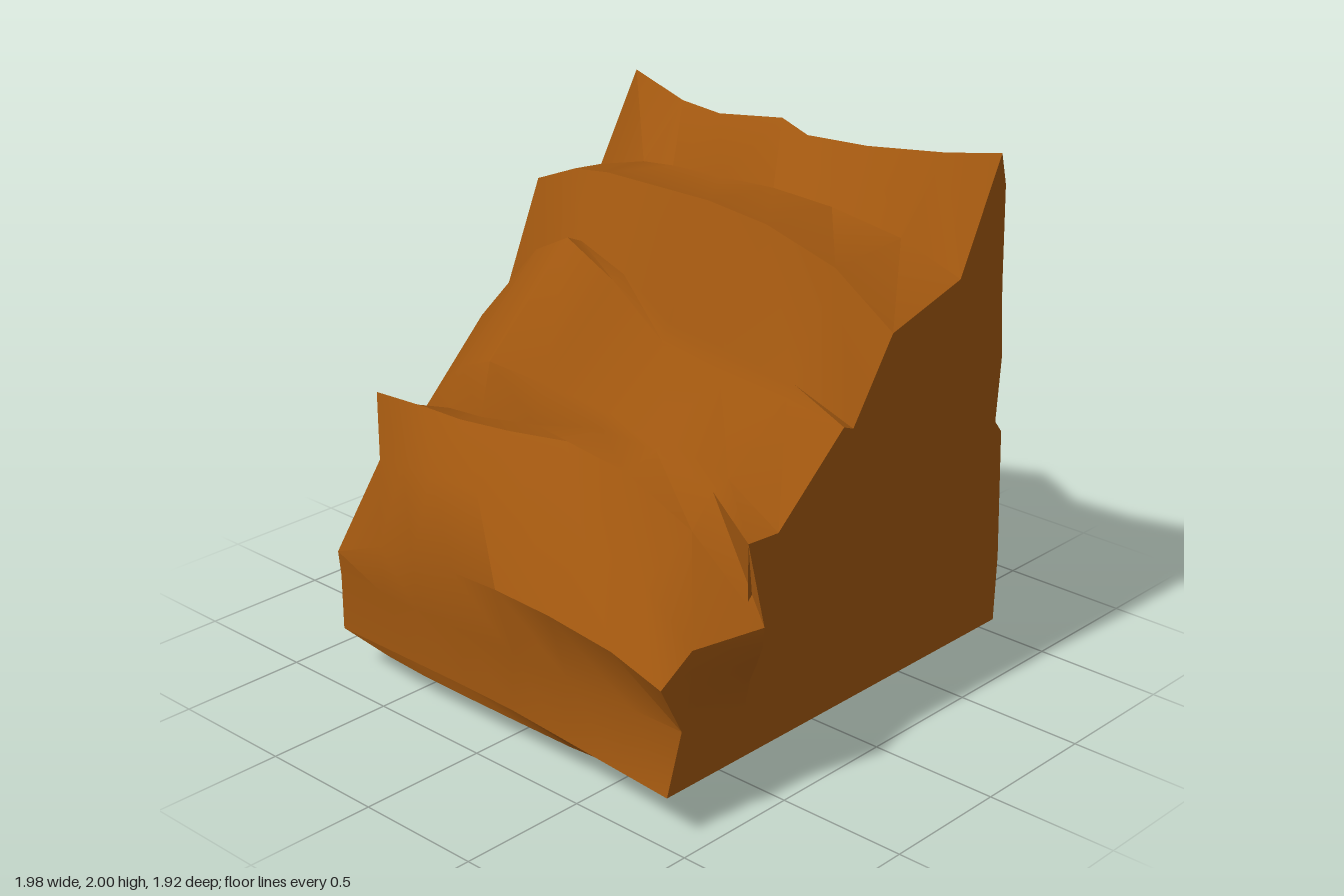
import * as THREE from 'three';
import { toCreasedNormals } from 'three/addons/utils/BufferGeometryUtils.js';

// terraced slope from the peak down to the left shoulder, as four key outlines, back to front
const SLOPE = [
  [[.7, 2], [.6, 1.62], [.16, 1.68], [.04, 1.2], [-.04, 1.15], [-.4, .87], [-.5, .94], [-.68, 1.05], [-.68, .78], [-.9, .48]],
  [[.71, 1.9], [.46, 1.75], [.11, 1.8], [-.03, 1.57], [-.1, 1.6], [-.5, 1.23], [-.55, 1.03], [-.65, 1.05], [-.8, .88], [-.9, .6]],
  [[.72, 1.93], [.46, 1.77], [.11, 1.8], [-.1, 1.38], [-.13, 1.3], [-.4, 1.14], [-.43, 1.1], [-.6, 1.1], [-.8, .92], [-.97, .66]],
  [[.74, 2], [.53, 1.59], [.16, 1.49], [-.04, 1.2], [-.09, 1.22], [-.42, .94], [-.57, .95], [-.57, .67], [-.84, .66], [-.99, .57]],
];
// stations: z and the key outline, blended where fractional
const STATIONS = [[-.84, 0], [-.6, .8], [-.42, 1], [-.18, 1.35], [.08, 1.9], [.35, 2.1], [.65, 2.4], [.885, 3]];
const LAST = STATIONS.length - 1;

// right cliff: height, base x, share of the lower bulge, of the buttress and of the crest's sway
const CLIFF = [
  [.16, .83, .5, 0, 0], [.42, .84, 1, 0, 0], [.93, .82, .5, .4, 0],
  [.98, .78, .1, 1, 0], [1.22, .8, 0, .8, .3], [1.5, .78, 0, .3, .6],
];
// underside: x and depth
const KEEL = [[-.88, .05], [-.6, .06], [-.4, .16], [.2, .16], [.7, .1]];
const CLIFF_START = KEEL.length + 1;
const PEAK = CLIFF_START + CLIFF.length + 1;

// how far the columns of the end walls lean out, by slope point
const BACK_LEAN = [0, -.1, 0, -.08, -.12, -.07, -.04, 0, 0, 0];
const FRONT_LEAN = [0, 0, 0, 0, 0, 0, 0, .075, 0, 0];

const { lerp, smoothstep } = THREE.MathUtils;
const bell = (t) => Math.exp(-t * t);

function section([z, key], s) {
  const low = s < LAST ? .15 * bell((z - .6) / .55) : 0;
  const buttress = .14 * bell((z + .17) / .3);
  const sway = .1 * bell((z + .2) / .14) - .1 * bell((z - .2) / .22);
  const depth = Math.max(0, 1 - (z / .84) ** 4);
  const foot = -.89 - .08 * Math.max(0, z);

  const pts = [[foot, .16, z]];
  for (const [x, d] of KEEL) pts.push([x, .16 - d * depth, z]);
  for (const [y, x, l, b, c] of CLIFF) pts.push([x + l * low + b * buttress + c * sway, y, z]);

  const k = Math.min(Math.floor(key), SLOPE.length - 2);
  const slope = SLOPE[k].map(([x, y], i) => {
    const [x2, y2] = SLOPE[k + 1][i];
    let lean = 0;
    if (s === 0) lean = BACK_LEAN[i];
    if (s === LAST) lean = FRONT_LEAN[i];
    return [lerp(x, x2, key - k), lerp(y, y2, key - k), z + lean];
  });
  slope[0][0] += sway;
  pts.push([slope[0][0] + .03, slope[0][1] - .12, z], ...slope, [-.89, .38, z]);
  return pts;
}

export function createModel() {
  const group = new THREE.Group();
  const earth = new THREE.MeshStandardMaterial({ color: 0x9f560f });
  earth.name = 'brown earth';
  const sections = STATIONS.map(section);
  const count = sections[0].length;

  const add = (name, triangles) => {
    const geometry = new THREE.BufferGeometry();
    geometry.setAttribute('position', new THREE.Float32BufferAttribute(triangles.flat(), 3));
    const mesh = new THREE.Mesh(toCreasedNormals(geometry, .75), earth);
    mesh.name = name;
    group.add(mesh);
  };

  // skin between stations, for one range of profile points
  const skin = (name, from, to) => {
    const triangles = [];
    for (let s = 0; s < LAST; s++) {
      for (let i = from; i < to; i++) {
        const j = (i + 1) % count;
        const a = sections[s][i], b = sections[s][j];
        const c = sections[s + 1][j], d = sections[s + 1][i];
        triangles.push(a, b, c, a, c, d);
      }
    }
    add(name, triangles);
  };
  skin('underside', 0, CLIFF_START);
  skin('rightCliff', CLIFF_START, PEAK);
  skin('terracedSlope', PEAK, count);

  // end walls: columns from right to left under the slope points, leaning out above the foot
  const wall = (name, s, leans, facesBack) => {
    const pts = sections[s], z = STATIONS[s][0];
    const rightEdge = pts.slice(CLIFF_START, PEAK + 1);
    const levels = rightEdge.length - 1;
    const columns = [rightEdge];
    for (let i = 1; i < leans.length - 1; i++) {
      const [x, top] = pts[PEAK + i];
      columns.push(rightEdge.map((_, k) => {
        const y = lerp(.16, top, k / levels);
        return [x, y, z + leans[i] * smoothstep(y, .38, .64)];
      }));
    }
    columns.push(rightEdge.map((_, k) => {
      if (k === 0) return pts[0];
      return k < levels ? pts[count - 1] : pts[count - 2];
    }));

    const triangles = [];
    for (let i = 0; i < columns.length - 1; i++) {
      for (let k = 0; k < levels; k++) {
        const a = columns[i][k], b = columns[i + 1][k];
        const c = columns[i + 1][k + 1], d = columns[i][k + 1];
        if (facesBack) triangles.push(a, b, c, a, c, d);
        else triangles.push(a, d, c, a, c, b);
      }
    }
    add(name, triangles);
  };
  wall('frontWall', LAST, FRONT_LEAN, false);
  wall('backWall', 0, BACK_LEAN, true);

  return group;
}
